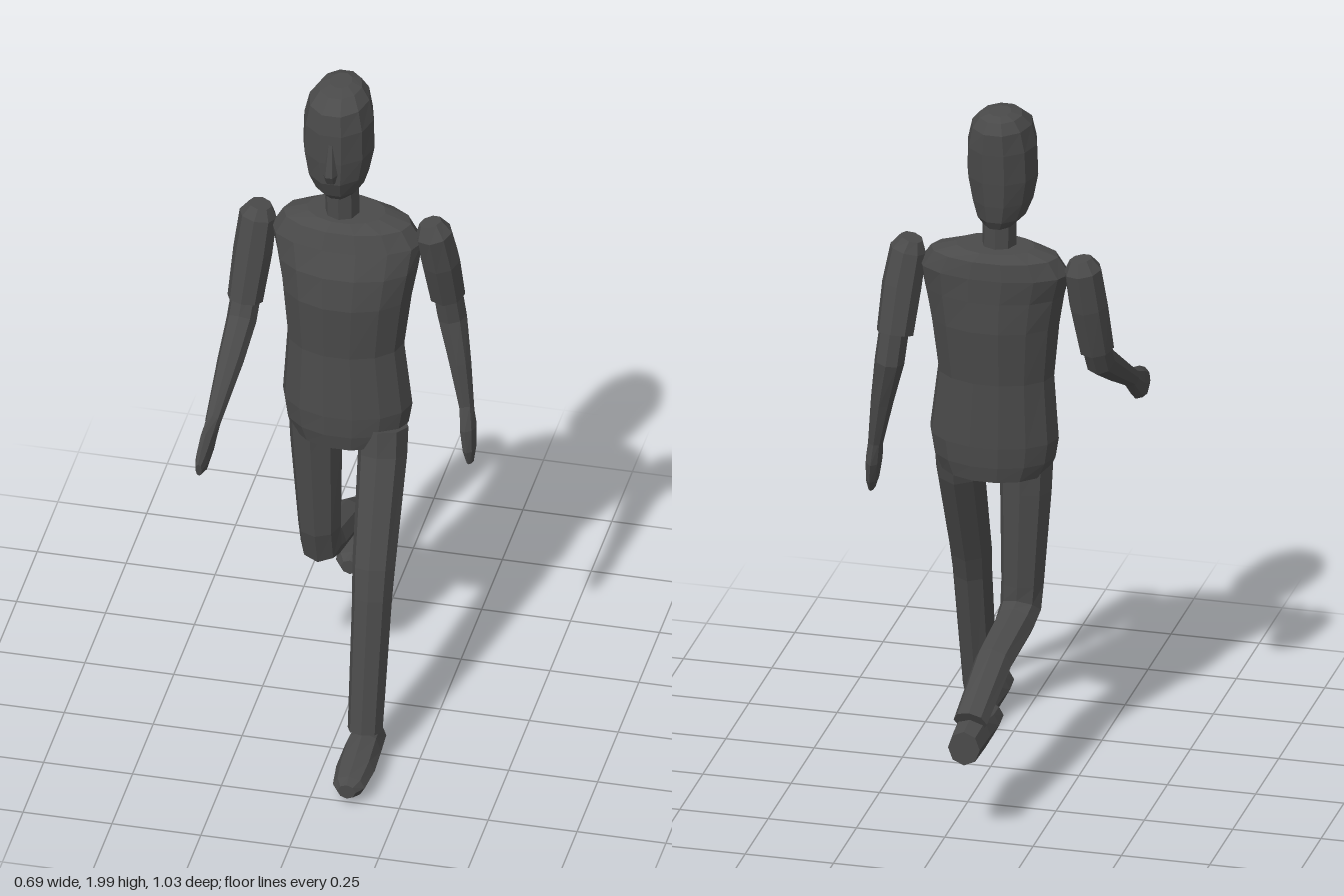
import * as THREE from 'three';

const darkGrey = new THREE.MeshStandardMaterial({ color: 0x4a4a4a });
darkGrey.name = 'darkGrey';

// Faceted loft through rings [x, y, z, halfWidth, halfDepth].
// Rings stand square to the path, or to a fixed direction if one is given.
function loft(name, rings, sides = 8, fixed = null) {
  const centres = rings.map(r => new THREE.Vector3(r[0], r[1], r[2]));
  const last = rings.length - 1;
  const points = [], faces = [];
  rings.forEach((r, i) => {
    const t = new THREE.Vector3();
    if (fixed) t.copy(fixed);
    else {
      if (i > 0) t.add(centres[i].clone().sub(centres[i - 1]).normalize());
      if (i < last) t.add(centres[i + 1].clone().sub(centres[i]).normalize());
      t.normalize();
    }
    const u = new THREE.Vector3(1, 0, 0);
    u.addScaledVector(t, -u.dot(t)).normalize();
    const v = t.clone().cross(u);
    for (let j = 0; j < sides; j++) {
      const a = j / sides * Math.PI * 2;
      const p = centres[i].clone().addScaledVector(u, Math.cos(a) * r[3]).addScaledVector(v, Math.sin(a) * r[4]);
      points.push(p.x, p.y, p.z);
    }
  });
  const start = points.length / 3;
  points.push(...centres[0].toArray(), ...centres[last].toArray());
  for (let j = 0; j < sides; j++) {
    const k = (j + 1) % sides;
    for (let i = 0; i < last; i++) {
      const a = i * sides, b = a + sides;
      faces.push(a + j, a + k, b + k, a + j, b + k, b + j);
    }
    faces.push(start, k, j, start + 1, last * sides + j, last * sides + k);
  }
  const indexed = new THREE.BufferGeometry();
  indexed.setAttribute('position', new THREE.Float32BufferAttribute(points, 3));
  indexed.setIndex(faces);
  const geometry = indexed.toNonIndexed();
  geometry.computeVertexNormals();
  const mesh = new THREE.Mesh(geometry, darkGrey);
  mesh.name = name;
  return mesh;
}

// Shoe with its heel at (x, y, z), pointing to the front
function foot(name, x, y, z) {
  return loft(name, [
    [x, y + 0.055, z, 0.045, 0.05],
    [x, y + 0.062, z + 0.09, 0.052, 0.055],
    [x, y + 0.056, z + 0.18, 0.054, 0.042],
    [x, y + 0.051, z + 0.26, 0.045, 0.032],
    [x, y + 0.05, z + 0.288, 0.025, 0.022],
  ], 8, new THREE.Vector3(0, 0, 1));
}

export function createModel() {
  const model = new THREE.Group();
  const up = new THREE.Vector3(0, 1, 0);

  // Torso, from hips to collar
  model.add(loft('torso', [
    [-0.01, 0.905, 0.005, 0.15, 0.115],
    [-0.01, 0.95, 0.005, 0.172, 0.122],
    [-0.01, 1.01, 0.003, 0.182, 0.124],
    [-0.017, 1.2, -0.005, 0.164, 0.118],
    [-0.015, 1.36, -0.01, 0.182, 0.13],
    [-0.015, 1.45, -0.018, 0.198, 0.122],
    [-0.02, 1.52, -0.035, 0.212, 0.107],
    [-0.022, 1.57, -0.042, 0.18, 0.095],
    [-0.025, 1.592, -0.045, 0.11, 0.075],
  ], 14, up));

  // Neck and head
  model.add(loft('neck', [
    [-0.033, 1.56, -0.035, 0.048, 0.05],
    [-0.035, 1.7, -0.033, 0.048, 0.05],
  ], 8, up));
  model.add(loft('head', [
    [-0.04, 1.665, -0.045, 0.045, 0.07],
    [-0.042, 1.69, -0.04, 0.068, 0.09],
    [-0.044, 1.74, -0.034, 0.086, 0.105],
    [-0.044, 1.81, -0.036, 0.1, 0.11],
    [-0.044, 1.9, -0.04, 0.098, 0.113],
    [-0.044, 1.96, -0.045, 0.084, 0.108],
    [-0.044, 1.99, -0.058, 0.06, 0.075],
    [-0.044, 2.0, -0.064, 0.03, 0.04],
  ], 10, up));
  model.add(loft('nose', [
    [-0.044, 1.745, 0.058, 0.018, 0.015],
    [-0.044, 1.775, 0.068, 0.02, 0.023],
    [-0.044, 1.87, 0.06, 0.01, 0.01],
  ], 6, up));

  // Left arm, hanging beside the body
  model.add(loft('leftUpperArm', [
    [0.212, 1.585, -0.042, 0.032, 0.032],
    [0.222, 1.55, -0.042, 0.052, 0.053],
    [0.235, 1.45, -0.065, 0.056, 0.056],
    [0.245, 1.32, -0.1, 0.052, 0.052],
  ]));
  model.add(loft('leftForearm', [
    [0.245, 1.36, -0.093, 0.042, 0.045],
    [0.258, 1.24, -0.108, 0.042, 0.046],
    [0.285, 1.11, -0.085, 0.032, 0.038],
    [0.31, 0.97, -0.062, 0.021, 0.028],
  ]));
  model.add(loft('leftHand', [
    [0.308, 0.985, -0.064, 0.02, 0.028],
    [0.317, 0.92, -0.048, 0.023, 0.046],
    [0.324, 0.86, -0.035, 0.018, 0.042],
    [0.328, 0.822, -0.028, 0.009, 0.025],
  ]));

  // Right arm, bent and swinging forward
  model.add(loft('rightUpperArm', [
    [-0.266, 1.573, -0.043, 0.032, 0.032],
    [-0.272, 1.54, -0.042, 0.053, 0.053],
    [-0.283, 1.43, -0.022, 0.055, 0.056],
    [-0.297, 1.29, 0.01, 0.05, 0.052],
  ]));
  model.add(loft('rightForearm', [
    [-0.294, 1.32, 0.0, 0.042, 0.044],
    [-0.3, 1.24, 0.04, 0.042, 0.046],
    [-0.306, 1.175, 0.145, 0.037, 0.038],
    [-0.318, 1.075, 0.31, 0.022, 0.027],
  ]));
  model.add(loft('rightHand', [
    [-0.317, 1.08, 0.3, 0.021, 0.027],
    [-0.322, 1.04, 0.36, 0.022, 0.046],
    [-0.324, 1.015, 0.42, 0.018, 0.042],
    [-0.325, 1.008, 0.453, 0.009, 0.022],
  ]));

  // Left leg, stepping forward
  model.add(loft('leftLeg', [
    [0.098, 0.95, 0.035, 0.07, 0.078],
    [0.1, 0.87, 0.055, 0.069, 0.075],
    [0.105, 0.58, 0.185, 0.06, 0.064],
    [0.107, 0.5, 0.212, 0.056, 0.06],
    [0.107, 0.115, 0.297, 0.049, 0.05],
  ]));
  model.add(foot('leftFoot', 0.106, 0.003, 0.23));

  // Right leg, trailing with the knee bent
  model.add(loft('rightLeg', [
    [-0.1, 0.95, 0.01, 0.075, 0.075],
    [-0.098, 0.85, 0.006, 0.073, 0.07],
    [-0.09, 0.57, 0, 0.06, 0.06],
    [-0.088, 0.5, -0.012, 0.058, 0.058],
    [-0.086, 0.475, -0.07, 0.056, 0.052],
    [-0.073, 0.435, -0.25, 0.053, 0.047],
    [-0.058, 0.335, -0.445, 0.048, 0.038],
  ]));
  model.add(foot('rightFoot', -0.058, 0.23, -0.515));
  return model;
}
